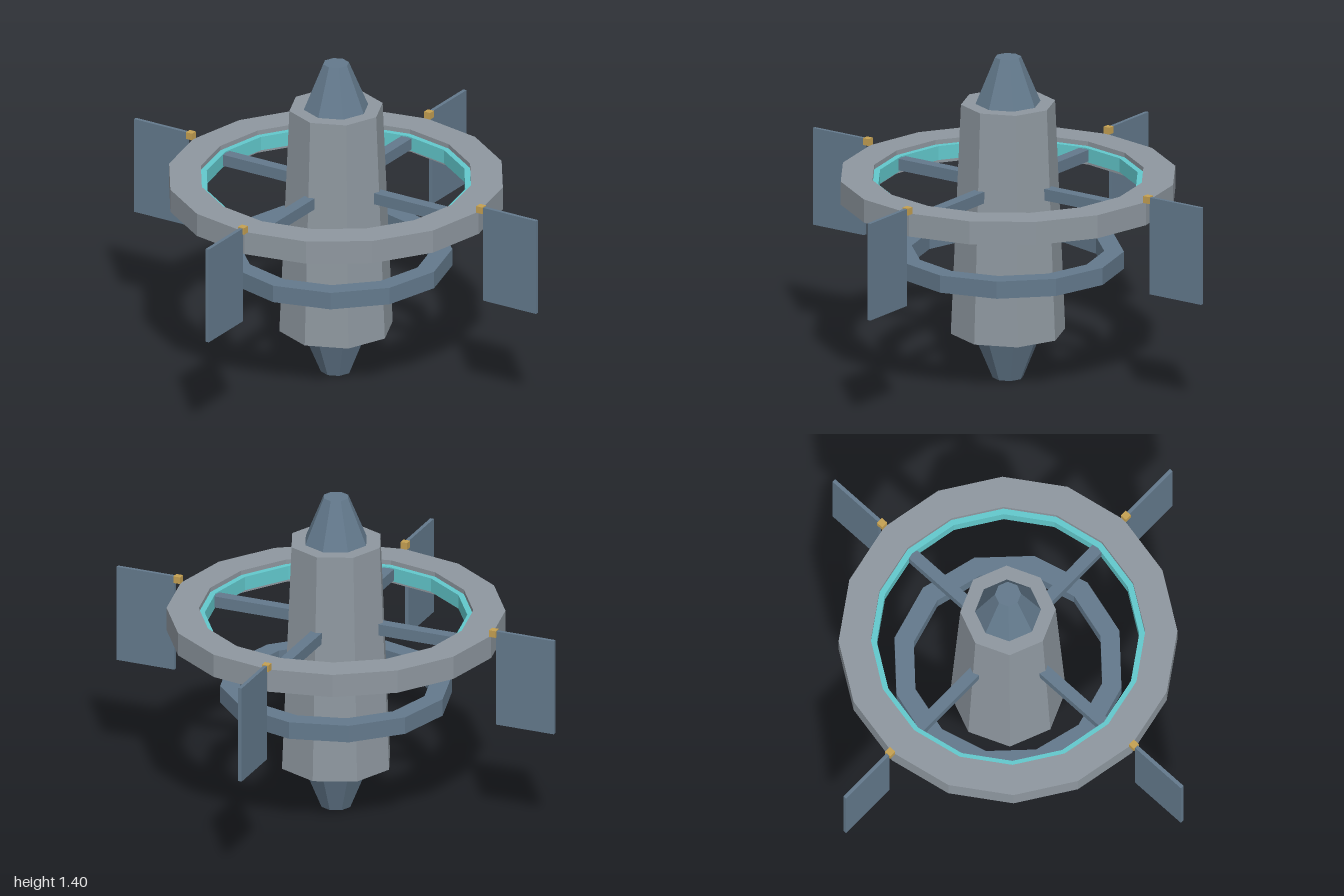
import * as THREE from 'three';

const hullGrey = new THREE.MeshStandardMaterial({ color: 0x8e979f });
const steelBlue = new THREE.MeshStandardMaterial({ color: 0x63798c });
const glowCyan = new THREE.MeshStandardMaterial({ color: 0x62c8cc });
const lampGold = new THREE.MeshStandardMaterial({ color: 0xc4a052 });

// Faceted mesh with one normal per face
function part(name, geometry, material, x = 0, y = 0, z = 0) {
  const flat = geometry.toNonIndexed();
  flat.computeVertexNormals();
  const mesh = new THREE.Mesh(flat, material);
  mesh.name = name;
  mesh.position.set(x, y, z);
  return mesh;
}

// Eight-sided tapered section between two heights
function taper(name, rTop, rBottom, y0, y1, material) {
  const geometry = new THREE.CylinderGeometry(rTop, rBottom, y1 - y0, 8);
  return part(name, geometry, material, 0, (y0 + y1) / 2, 0);
}

// Ring with a rectangular section
function ring(name, inner, outer, y0, y1, sides, material) {
  const section = [[outer, y0], [outer, y1], [inner, y1], [inner, y0], [outer, y0]]
    .map(([r, y]) => new THREE.Vector2(r, y));
  return part(name, new THREE.LatheGeometry(section, sides), material);
}

export function createModel() {
  const model = new THREE.Group();
  model.name = 'spaceStation';

  // Central hull
  model.add(
    taper('hull', 0.2, 0.243, 0.2, 1.2, hullGrey),
    taper('topCone', 0.055, 0.138, 1.2, 1.4, steelBlue),
    taper('bottomCone', 0.148, 0.065, 0, 0.2, steelBlue),
  );

  // Rings
  model.add(
    ring('habitatRing', 0.575, 0.71, 0.787, 0.888, 16, hullGrey),
    ring('lightBand', 0.55, 0.578, 0.807, 0.868, 16, glowCyan),
    ring('lowerRing', 0.405, 0.488, 0.487, 0.562, 12, steelBlue),
  );

  // Four arms, each with a spoke, a solar panel and a lamp
  for (let i = 0; i < 4; i++) {
    const arm = new THREE.Group();
    arm.name = 'arm' + (i + 1);
    arm.add(
      part('spoke', new THREE.BoxGeometry(0.38, 0.05, 0.05), steelBlue, 0.365, 0.838, 0),
      part('solarPanel', new THREE.BoxGeometry(0.264, 0.423, 0.016), steelBlue, 0.868, 0.703, 0),
      part('lamp', new THREE.BoxGeometry(0.03, 0.03, 0.03), lampGold, 0.722, 0.903, 0),
    );
    arm.rotation.y = (i * Math.PI) / 2;
    model.add(arm);
  }
  return model;
}
